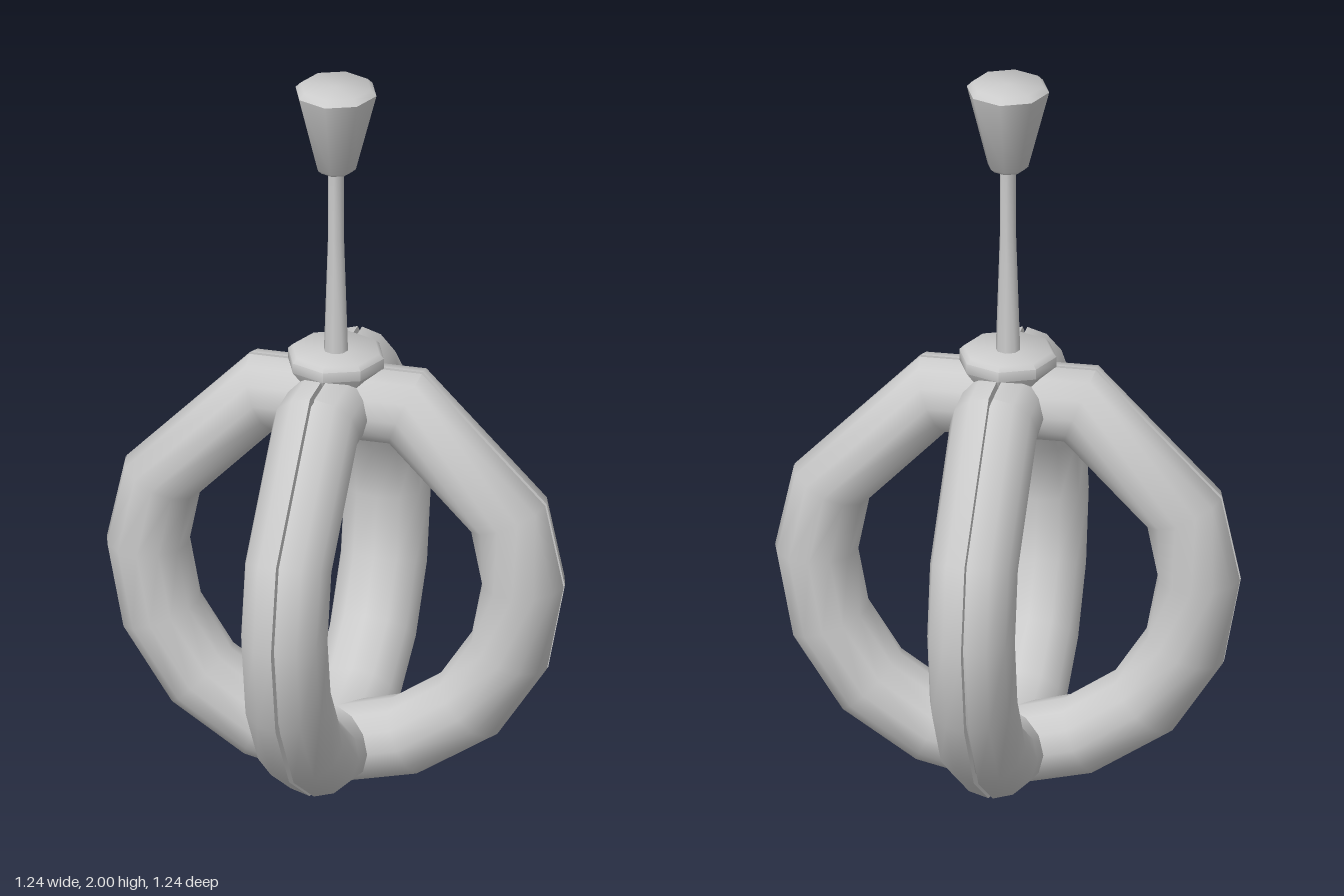
import * as THREE from 'three';
import { toCreasedNormals } from 'three/addons/utils/BufferGeometryUtils.js';

const material = new THREE.MeshStandardMaterial({ color: 0xcccccc, side: THREE.DoubleSide });

// Half of the ring, bottom to top: [outer x, outer y, inner x, inner y]
const HALF = [
  [0, 0, 0, 0.21], [0.24, 0.055, 0.15, 0.25], [0.44, 0.185, 0.285, 0.34],
  [0.575, 0.39, 0.37, 0.47], [0.62, 0.63, 0.4, 0.63], [0.57, 0.86, 0.37, 0.78],
  [0.235, 1.2, 0.155, 1.0], [0, 1.2, 0, 1.0],
];

// Closed tube ring with a narrow groove along its outer line
function ringGeometry() {
  const mirrored = HALF.slice(1, -1).reverse().map(([a, b, c, d]) => [-a, b, -c, d]);
  const stations = [...HALF, ...mirrored];

  // Cross-section as [radial -1..1, z]
  const section = [[0.73, 0.006], [1, 0.006]];
  for (let k = 1; k < 12; k++) {
    const a = (k * Math.PI) / 6;
    section.push([Math.cos(a), 0.117 * Math.sin(a)]);
  }
  section.push([1, -0.006], [0.73, -0.006]);

  const positions = [];
  for (const [ox, oy, ix, iy] of stations) {
    for (const [r, z] of section) {
      const t = (1 + r) / 2;
      positions.push(ix + (ox - ix) * t, iy + (oy - iy) * t, z);
    }
  }
  const index = [];
  const n = section.length;
  const m = stations.length;
  for (let i = 0; i < m; i++) {
    for (let j = 0; j < n; j++) {
      const a = i * n + j;
      const b = i * n + ((j + 1) % n);
      const c = ((i + 1) % m) * n + j;
      const d = ((i + 1) % m) * n + ((j + 1) % n);
      index.push(a, c, b, b, c, d);
    }
  }
  const geometry = new THREE.BufferGeometry();
  geometry.setAttribute('position', new THREE.Float32BufferAttribute(positions, 3));
  geometry.setIndex(index);
  return toCreasedNormals(geometry, 0.9);
}

// Eight-sided turned part, profile from bottom to top
function turned(name, profile) {
  const points = profile.map(([r, y]) => new THREE.Vector2(r, y));
  const geometry = toCreasedNormals(new THREE.LatheGeometry(points, 8), 0.9);
  const mesh = new THREE.Mesh(geometry, material);
  mesh.name = name;
  return mesh;
}

export function createModel() {
  const group = new THREE.Group();
  group.name = 'ringCageWithHandle';

  // Two crossed rings
  const geometry = ringGeometry();
  ['sideRing', 'frontRing'].forEach((name, i) => {
    const ring = new THREE.Mesh(geometry, material);
    ring.name = name;
    ring.rotation.y = (i * Math.PI) / 2;
    group.add(ring);
  });

  // Collar, stem and knob
  group.add(
    turned('collar', [[0, 1.14], [0.085, 1.14], [0.13, 1.2], [0.13, 1.228], [0.118, 1.24], [0, 1.24]]),
    turned('stem', [[0.033, 1.23], [0.022, 1.56], [0.021, 1.77]]),
    turned('knob', [[0, 1.757], [0.043, 1.757], [0.054, 1.767], [0.11, 1.985], [0.095, 2], [0, 2]]),
  );
  return group;
}
